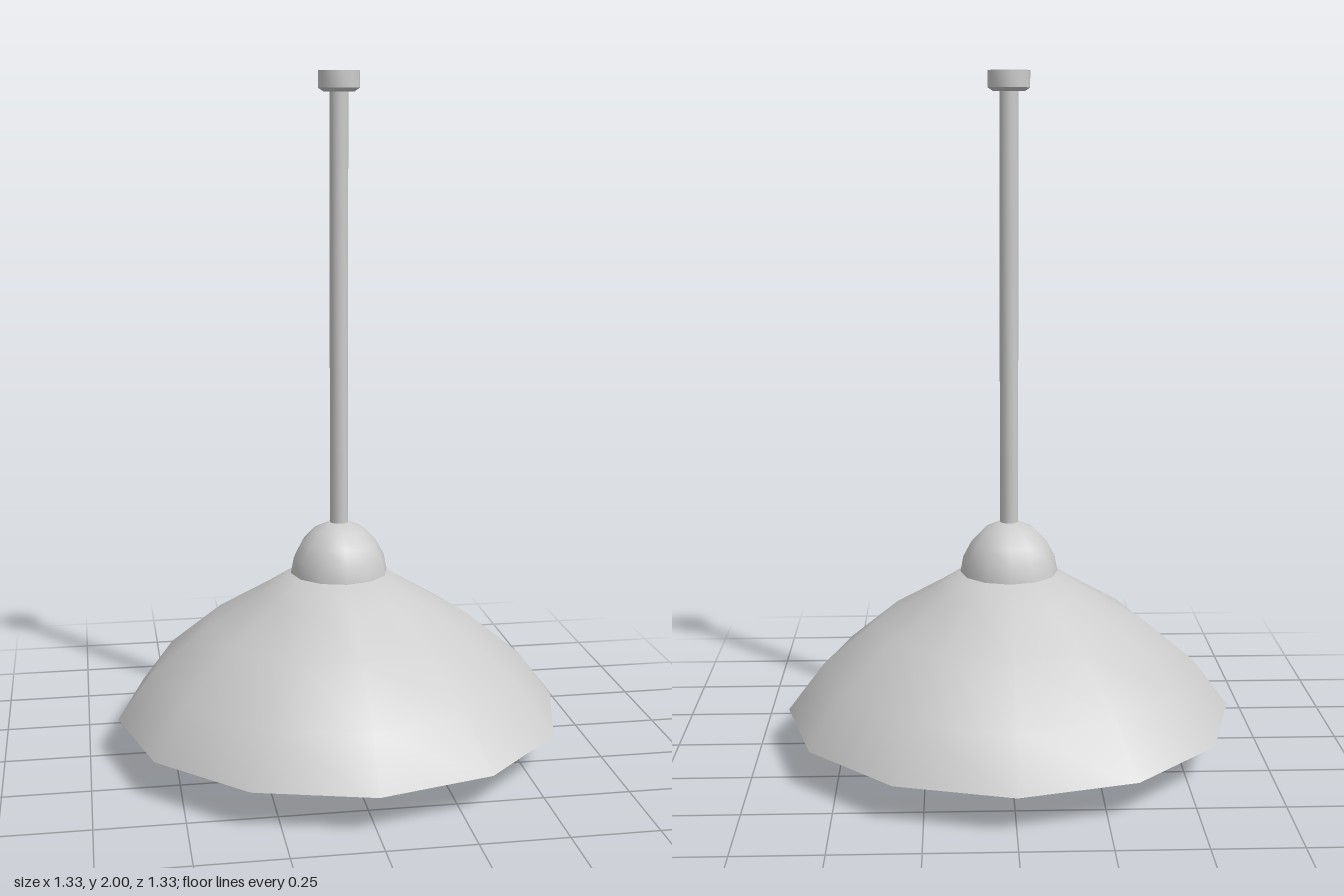
import * as THREE from 'three';
import { toCreasedNormals } from 'three/addons/utils/BufferGeometryUtils.js';

const material = new THREE.MeshStandardMaterial({ color: 0xcccccc });

// Turn a [radius, height] profile around the y axis, with a corner on +x
function turned(name, profile, sides, crease) {
  const points = profile.map(([r, y]) => new THREE.Vector2(r, y));
  let geometry = new THREE.LatheGeometry(points, sides, Math.PI / 2);
  if (crease) geometry = toCreasedNormals(geometry, crease);
  const mesh = new THREE.Mesh(geometry, material);
  mesh.name = name;
  return mesh;
}

export function createModel() {
  const model = new THREE.Group();
  model.name = 'pendantLamp';

  // Thick shade: inside from the top down, flat rim, outside back up
  model.add(turned('shade', [
    [0, 0.46], [0.1, 0.46], [0.19, 0.41], [0.34, 0.32], [0.48, 0.21], [0.563, 0.11],
    [0.665, 0.11], [0.56, 0.25], [0.395, 0.385], [0.23, 0.483], [0.14, 0.54], [0, 0.54],
  ], 12, 0.8));

  // Domed cap over the shade
  model.add(turned('cap', [
    [0, 0.538], [0.145, 0.538], [0.136, 0.585], [0.112, 0.63], [0.076, 0.668], [0.03, 0.69], [0, 0.69],
  ], 12, 0.8));

  // Hanging rod
  model.add(turned('rod', [[0, 0.67], [0.027, 0.67], [0.027, 1.95], [0, 1.95]], 12, 0.8));

  // Ceiling mount with a slightly bevelled lower edge
  model.add(turned('ceilingMount', [
    [0, 1.942], [0.045, 1.942], [0.06, 1.952], [0.06, 2], [0, 2],
  ], 12, 0.8));

  // Coarse light bulb with a neck reaching into the shade
  model.add(turned('bulb', [
    [0, 0], [0.035, 0.002], [0.09, 0.015], [0.15, 0.07], [0.17, 0.14], [0.165, 0.2],
    [0.14, 0.27], [0.105, 0.33], [0.09, 0.38], [0.09, 0.48],
  ], 7));

  return model;
}
